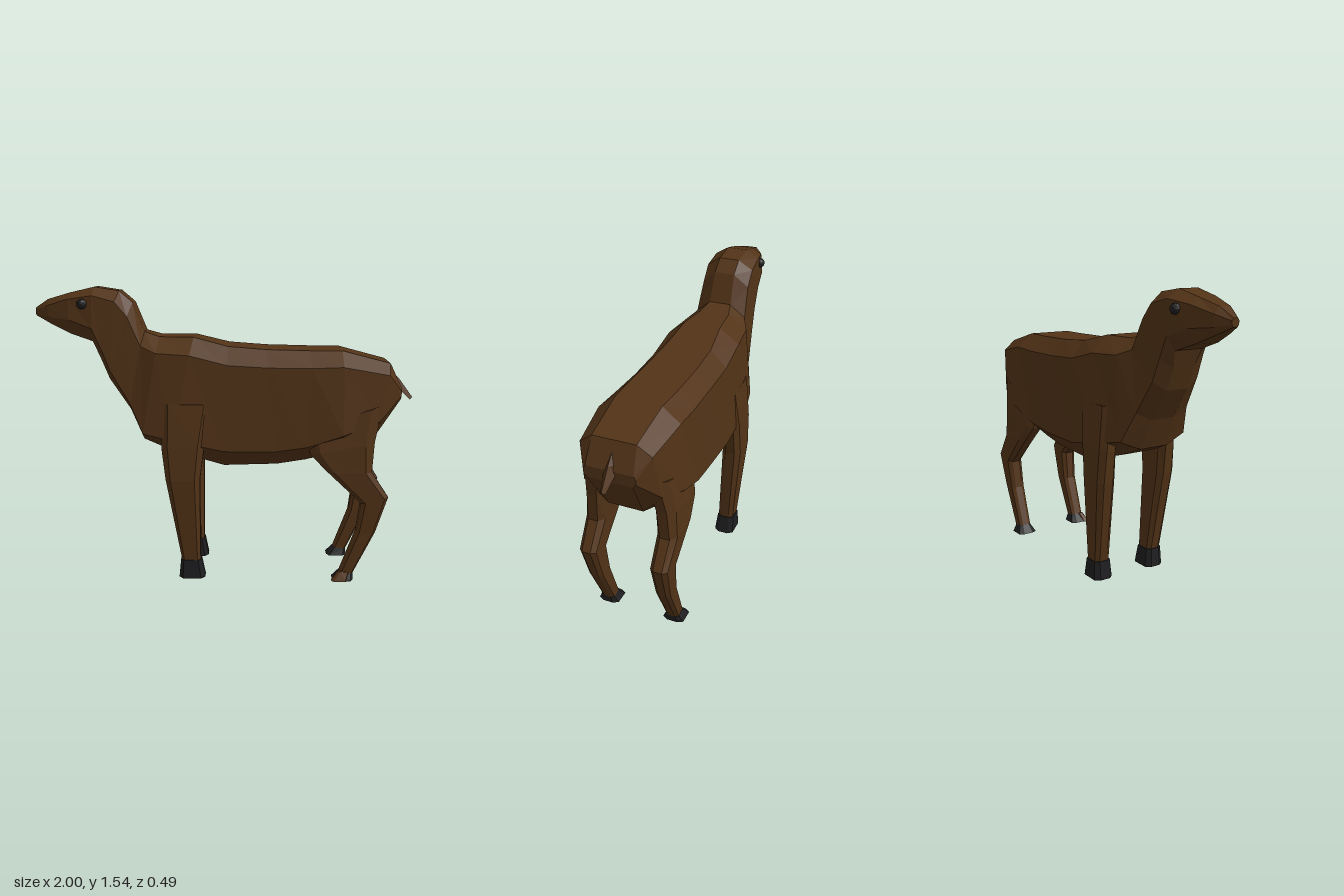
import * as THREE from 'three';

const mat = (color) => new THREE.MeshStandardMaterial({ color, flatShading: true, roughness: 0.9 });

// Closed faceted skin through rings of equal point count, capped at both ends
function loft(name, rings, material) {
  const pos = [];
  const n = rings[0].length;
  const tri = (a, b, c) => pos.push(a, b, c);
  for (let i = 0; i < rings.length - 1; i++) {
    for (let j = 0; j < n; j++) {
      const k = (j + 1) % n;
      tri(rings[i][j], rings[i][k], rings[i + 1][k]);
      tri(rings[i][j], rings[i + 1][k], rings[i + 1][j]);
    }
  }
  const last = rings[rings.length - 1];
  for (let j = 1; j < n - 1; j++) {
    tri(rings[0][0], rings[0][j + 1], rings[0][j]);
    tri(last[0], last[j], last[j + 1]);
  }
  // Turn the skin outward when its signed volume is negative
  let volume = 0;
  for (let i = 0; i < pos.length; i += 3) {
    volume += pos[i].dot(new THREE.Vector3().crossVectors(pos[i + 1], pos[i + 2]));
  }
  if (volume < 0) pos.reverse();
  const geo = new THREE.BufferGeometry().setFromPoints(pos);
  geo.computeVertexNormals();
  const mesh = new THREE.Mesh(geo, material);
  mesh.name = name;
  return mesh;
}

// Eight-sided body ring: top and bottom points, four half widths, two crease heights
function bodyRing([tx, ty, bx, by, wt, wu, wl, wb, fu, fl]) {
  const half = [[0, wt], [fu, wu], [fl, wl], [1, wb]];
  const at = ([f, w], s) => new THREE.Vector3(tx + (bx - tx) * f, ty + (by - ty) * f, w * s);
  return [...half.map((h) => at(h, 1)), ...half.reverse().map((h) => at(h, -1))];
}

// Chamfered leg ring between a front point and a back point
function legRing([xf, yf, xb, yb, zi, zo], side) {
  const corners = [[0, 0.25], [0, 0.75], [0.15, 1], [0.85, 1], [1, 0.75], [1, 0.25], [0.85, 0], [0.15, 0]];
  return corners.map(([u, v]) =>
    new THREE.Vector3(xf + (xb - xf) * u, yf + (yb - yf) * u, side * (zi + (zo - zi) * v)));
}

export function createModel() {
  const model = new THREE.Group();
  model.name = 'animal';
  const coat = mat(0x523317);
  const dark = mat(0x1e1e20);

  // Head and neck, muzzle first
  const head = [
    [-1, 1.43, -1, 1.39, 0.012, 0.02, 0.02, 0.012, 0.3, 0.7],
    [-0.93, 1.475, -0.92, 1.35, 0.03, 0.06, 0.065, 0.04, 0.25, 0.72],
    [-0.81, 1.51, -0.81, 1.3, 0.05, 0.1, 0.11, 0.07, 0.15, 0.65],
    [-0.68, 1.54, -0.69, 1.26, 0.055, 0.125, 0.13, 0.08, 0.15, 0.75],
    [-0.55, 1.52, -0.655, 1.17, 0.055, 0.13, 0.13, 0.06, 0.15, 0.85],
    [-0.48, 1.46, -0.61, 1.06, 0.055, 0.13, 0.135, 0.06, 0.17, 0.88],
    [-0.42, 1.31, -0.5, 0.9, 0.06, 0.14, 0.155, 0.07, 0.17, 0.9],
  ];
  // Trunk, shoulders to rump
  const trunk = [
    [-0.34, 1.285, -0.43, 0.74, 0.08, 0.18, 0.195, 0.08, 0.14, 0.91],
    [-0.16, 1.285, -0.28, 0.68, 0.1, 0.2, 0.225, 0.1, 0.14, 0.87],
    [0.02, 1.24, 0, 0.61, 0.12, 0.205, 0.22, 0.13, 0.14, 0.85],
    [0.22, 1.225, 0.28, 0.62, 0.125, 0.205, 0.215, 0.13, 0.14, 0.86],
    [0.45, 1.22, 0.43, 0.645, 0.125, 0.21, 0.225, 0.13, 0.14, 0.85],
    [0.61, 1.22, 0.62, 0.69, 0.12, 0.21, 0.235, 0.12, 0.14, 0.8],
    [0.86, 1.155, 0.78, 0.74, 0.11, 0.18, 0.2, 0.09, 0.13, 0.7],
    [0.92, 1.03, 0.92, 0.97, 0.12, 0.13, 0.13, 0.115, 0.3, 0.7],
  ];
  model.add(loft('body', [...head, ...trunk].map(bodyRing), coat));

  // Tail, a tapering wedge
  model.add(loft('tail', [
    [0.87, 1.12, 0.87, 1.06, 0.045], [0.93, 1.055, 0.91, 1.02, 0.032], [1, 0.96, 0.985, 0.95, 0.014],
  ].map(([tx, ty, bx, by, w]) => [
    new THREE.Vector3(tx, ty, 0), new THREE.Vector3(bx, by, w), new THREE.Vector3(bx, by, -w),
  ]), coat));

  const frontLeg = [
    [-0.33, 0.95, -0.06, 0.95, 0.1, 0.215],
    [-0.325, 0.72, -0.1, 0.74, 0.135, 0.235],
    [-0.305, 0.55, -0.125, 0.55, 0.135, 0.24],
    [-0.225, 0.1, -0.125, 0.1, 0.125, 0.21],
  ];
  const frontHoof = [
    [-0.23, 0.1, -0.12, 0.1, 0.12, 0.215],
    [-0.24, 0, -0.1, 0, 0.11, 0.22],
  ];
  const hindLeg = [
    [0.42, 0.82, 0.82, 0.95, 0.1, 0.215],
    [0.45, 0.69, 0.78, 0.76, 0.13, 0.235],
    [0.54, 0.6, 0.77, 0.6, 0.14, 0.242],
    [0.72, 0.43, 0.86, 0.465, 0.145, 0.235],
    [0.7, 0.27, 0.8, 0.27, 0.145, 0.225],
    [0.62, 0.05, 0.69, 0.04, 0.15, 0.22],
  ];
  const hindHoof = [
    [0.62, 0.05, 0.69, 0.04, 0.15, 0.22],
    [0.58, 0.005, 0.69, 0.005, 0.13, 0.243],
  ];
  for (const side of [1, -1]) {
    const part = (name, rows, material) =>
      model.add(loft(name, rows.map((r) => legRing(r, side)), material));
    part('frontLeg', frontLeg, coat);
    part('frontHoof', frontHoof, dark);
    part('hindLeg', hindLeg, coat);
    part('hindHoof', hindHoof, dark);

    // Eye
    const eye = new THREE.Mesh(new THREE.IcosahedronGeometry(0.027, 1), dark);
    eye.name = 'eye';
    eye.position.set(-0.735, 1.455, side * 0.118);
    model.add(eye);
  }

  // Coat running down over the outer toe of one hind hoof
  model.add(loft('toeCoat', [
    [0.615, 0.052, 0.67, 0.046, 0.19, 0.224],
    [0.576, 0.003, 0.66, 0.003, 0.2, 0.247],
  ].map((r) => legRing(r, 1)), coat));

  return model;
}
